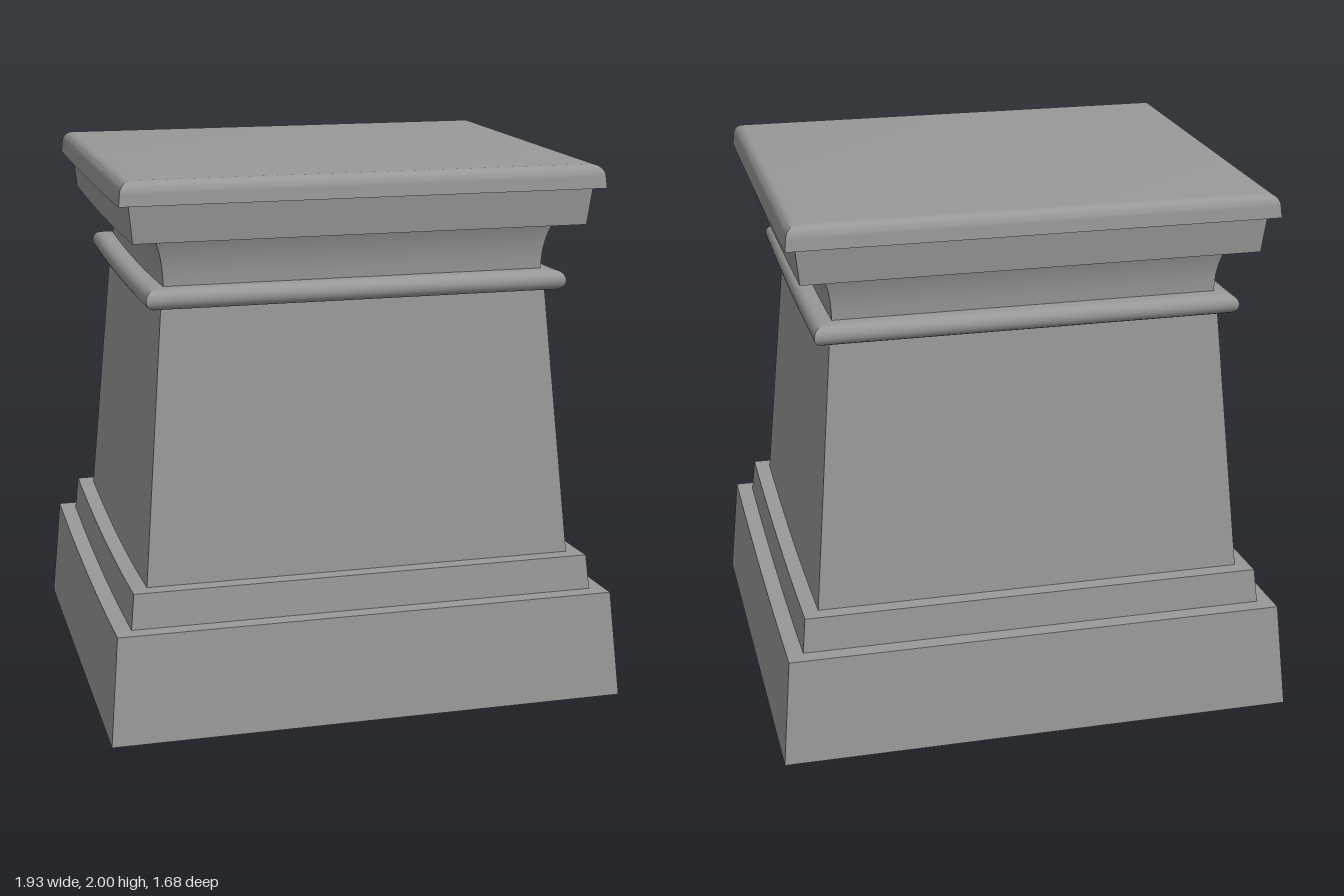
import * as THREE from 'three';
import { toCreasedNormals } from 'three/addons/utils/BufferGeometryUtils.js';

const DEPTH_INSET = 0.125; // half depth = half width - inset
const SEGMENTS = 16;

// Sag of the side courses at mid-depth, by height
const SAG = [[0, 0], [0.4, 0.026], [0.53, 0.027], [1.53, 0.014], [1.78, 0.012], [1.915, 0.008], [2, 0]];
function sagAt(y) {
  for (let i = 1; i < SAG.length; i++) {
    const [y0, s0] = SAG[i - 1], [y1, s1] = SAG[i];
    if (y <= y1) return s0 + (s1 - s0) * (y - y0) / (y1 - y0);
  }
  return 0;
}

// Sweeps a [halfWidth, y] profile (bottom to top) round a rectangle with mitred corners
function course(profile, closed = false) {
  const pos = [];
  const corners = [[-1, 1], [1, 1], [1, -1], [-1, -1]];
  const point = (side, t, [w, y]) => {
    const a = corners[side], b = corners[(side + 1) % 4];
    const u = a[0] + (b[0] - a[0]) * t, v = a[1] + (b[1] - a[1]) * t;
    const drop = side % 2 ? sagAt(y) * (1 - v * v) : 0;
    return [u * w, y - drop, v * (w - DEPTH_INSET)];
  };
  for (let side = 0; side < 4; side++)
    for (let j = 0; j < profile.length - 1; j++)
      for (let i = 0; i < SEGMENTS; i++) {
        const t0 = i / SEGMENTS, t1 = (i + 1) / SEGMENTS;
        const a = point(side, t0, profile[j]), b = point(side, t1, profile[j]);
        const c = point(side, t1, profile[j + 1]), d = point(side, t0, profile[j + 1]);
        pos.push(...a, ...b, ...c, ...a, ...c, ...d);
      }
  // Flat lids at the first and last profile points
  if (closed) {
    const quad = (p, order) => order.forEach(k => pos.push(...point(k, 0, p)));
    quad(profile[0], [0, 2, 1, 0, 3, 2]);
    quad(profile[profile.length - 1], [0, 1, 2, 0, 2, 3]);
  }
  const g = new THREE.BufferGeometry();
  g.setAttribute('position', new THREE.Float32BufferAttribute(pos, 3));
  return toCreasedNormals(g, 0.6);
}

// Elliptical arc of profile points, angles in degrees
function arc(cx, cy, rx, ry, from, to, n = 8) {
  return Array.from({ length: n + 1 }, (_, i) => {
    const a = THREE.MathUtils.degToRad(from + (to - from) * i / n);
    return [cx + rx * Math.cos(a), cy + ry * Math.sin(a)];
  });
}

export function createModel() {
  const group = new THREE.Group();
  const stone = new THREE.MeshStandardMaterial({ color: 0x999999 });
  stone.name = 'grey stone';

  const add = (name, profile, closed) => {
    const mesh = new THREE.Mesh(course(profile, closed), stone);
    mesh.name = name;
    group.add(mesh);
  };

  add('plinth', [[0.965, 0], [0.93, 0.4], [0.8, 0.4]], true);
  add('plinthStep', [[0.87, 0.4], [0.857, 0.53], [0.72, 0.53]]);
  add('shaft', [[0.8, 0.53], [0.713, 1.55]]);
  add('bead', [[0.68, 1.53], ...arc(0.74, 1.567, 0.036, 0.037, -90, 90, 10), [0.68, 1.604]]);
  // Concave neck flaring up to the cornice
  add('neck', [[0.702, 1.59], [0.703, 1.63], [0.706, 1.67], [0.713, 1.71], [0.724, 1.75], [0.738, 1.785]]);
  add('cornice', [[0.68, 1.78], [0.826, 1.78], [0.841, 1.92]]);
  // Top slab with a rounded upper edge
  add('capSlab', [[0.78, 1.917], [0.879, 1.917], [0.875, 1.955], ...arc(0.835, 1.955, 0.04, 0.045, 10, 90)], true);
  return group;
}
